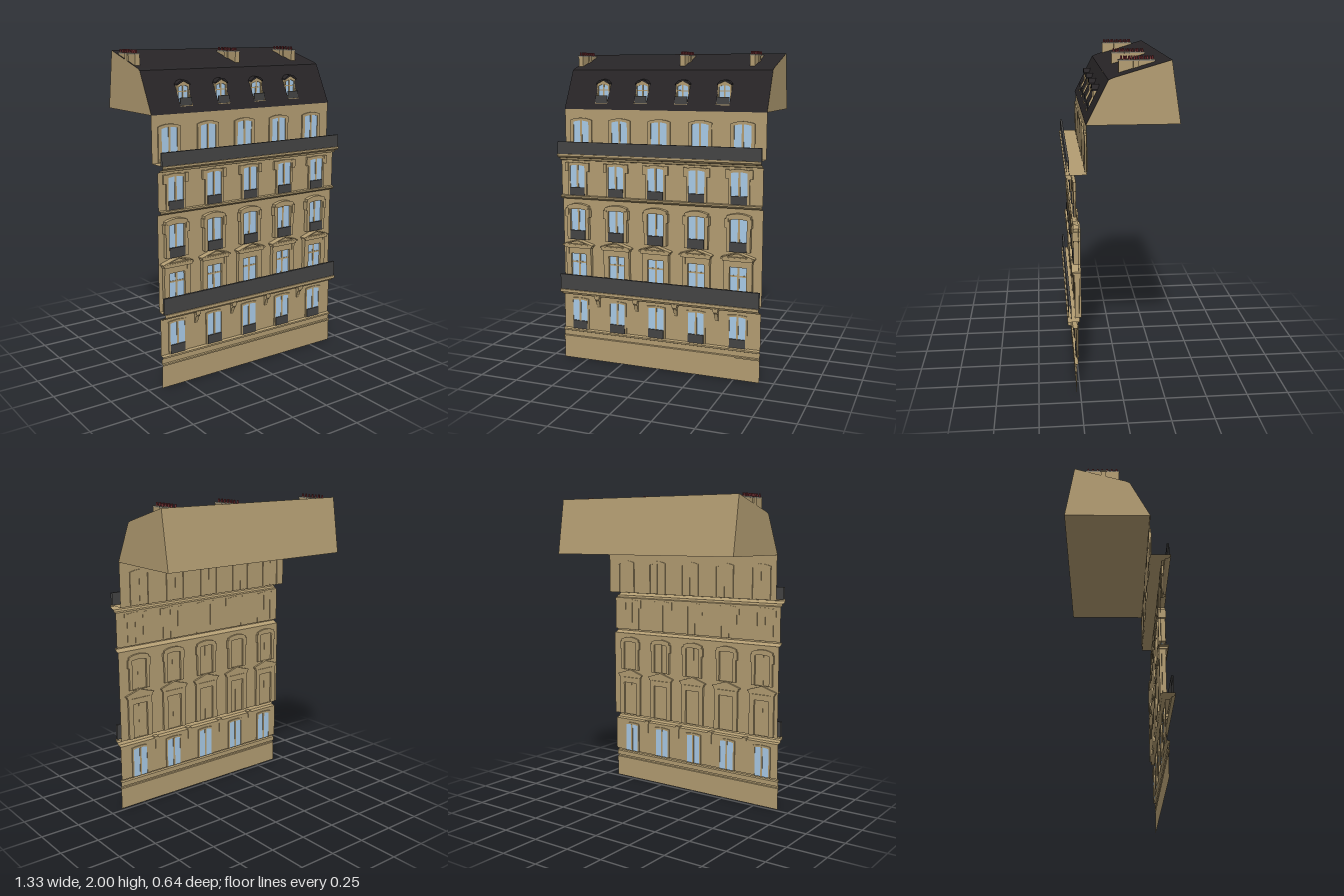
import * as THREE from 'three';

const HALF = 0.665; // half width of the building
const mat = (color) => new THREE.MeshStandardMaterial({ color, side: THREE.DoubleSide });
const stone = mat(0xb39d72), slate = mat(0x272426), iron = mat(0x444444);
const glass = mat(0xa9cbe8), clay = mat(0x7d3438), capStone = mat(0x8c8474);

const windowXs = [-2, -1, 0, 1, 2].map((i) => -0.015 + i * 0.2675);
const betweenXs = [-1.5, -0.5, 0.5, 1.5].map((i) => -0.015 + i * 0.2675);

function add(parent, name, geometry, material, x = 0, y = 0, z = 0) {
  const mesh = new THREE.Mesh(geometry, material);
  mesh.name = name;
  mesh.position.set(x, y, z);
  parent.add(mesh);
  return mesh;
}

// Box given by its centre x, y range and z range
function box(parent, name, material, x, w, y0, y1, z0, z1) {
  return add(parent, name, new THREE.BoxGeometry(w, y1 - y0, z1 - z0), material, x, (y0 + y1) / 2, (z0 + z1) / 2);
}

// Open sheet across the full width, following a [z, y] profile
function ribbon(parent, name, material, profile) {
  const pos = [];
  for (let i = 0; i < profile.length - 1; i++) {
    const [z0, y0] = profile[i], [z1, y1] = profile[i + 1];
    pos.push(-HALF, y0, z0, HALF, y0, z0, HALF, y1, z1, -HALF, y0, z0, HALF, y1, z1, -HALF, y1, z1);
  }
  const g = new THREE.BufferGeometry();
  g.setAttribute('position', new THREE.Float32BufferAttribute(pos, 3));
  g.computeVertexNormals();
  return add(parent, name, g, material);
}

const polygon = (pts) => new THREE.Shape(pts.map(([a, b]) => new THREE.Vector2(a, b)));

// Side profile [z, y] extruded along x
function prism(parent, name, material, pts, x, w) {
  const g = new THREE.ExtrudeGeometry(polygon(pts), { depth: w, bevelEnabled: false });
  g.translate(0, 0, -w / 2).rotateY(-Math.PI / 2);
  return add(parent, name, g, material, x);
}

// Upright outline with a shallow arched head
function archOutline(path, w, y0, y1, rise) {
  const h = w / 2;
  path.moveTo(-h, y0);
  path.lineTo(h, y0);
  path.lineTo(h, y1 - rise);
  if (rise > 0) path.quadraticCurveTo(0, y1 + rise, -h, y1 - rise);
  else path.lineTo(-h, y1);
  path.lineTo(-h, y0);
  return path;
}

// Front-facing extrusion between two z values
function extrudeZ(parent, name, material, shape, z0, z1) {
  const g = new THREE.ExtrudeGeometry(shape, { depth: z1 - z0, bevelEnabled: false, curveSegments: 8 });
  return add(parent, name, g, material, 0, 0, z0);
}

// Window with panes, bars, stone surround and optional small balustrade
function makeWindow(parent, x, f) {
  const g = new THREE.Group();
  g.name = 'window';
  g.position.x = x;
  parent.add(g);
  const [p0, p1] = f.pane, [s0, s1] = f.surround;
  extrudeZ(g, 'windowPane', glass, archOutline(new THREE.Shape(), f.w, f.y0, f.y1, f.rise), p0, p1);
  box(g, 'centreBar', stone, 0, 0.013, f.y0, f.y1, p0 - 0.003, p1 + 0.003);
  if (f.crossBar) box(g, 'crossBar', stone, 0, f.w, f.crossBar - 0.005, f.crossBar + 0.005, p0, p1 + 0.003);
  const ring = archOutline(new THREE.Shape(), f.outerW, f.y0, f.top, f.outerRise);
  ring.holes.push(archOutline(new THREE.Path(), f.w, f.y0 + 0.0005, f.y1, f.rise));
  extrudeZ(g, 'windowSurround', stone, ring, s0, s1);
  if (f.rail) box(g, 'windowRail', iron, 0, f.w, f.y0, f.y0 + f.rail, s1 - 0.006, s1 + 0.004);
  if (f.ears) for (const s of [-1, 1]) {
    box(g, 'surroundEar', stone, s * 0.073, 0.022, f.ears - 0.055, f.ears, s0, s1 + 0.004);
  }
  if (f.pediment) {
    const y = f.pediment;
    for (const s of [-1, 1]) box(g, 'pedimentBracket', stone, s * 0.078, 0.02, y - 0.045, y, s0, s1 + 0.003);
    box(g, 'entablature', stone, 0, 0.19, y, y + 0.014, s0, 0.288);
    box(g, 'pedimentBase', stone, 0, 0.21, y + 0.014, y + 0.022, s0, 0.293);
    const tri = polygon([[-0.105, y + 0.022], [0.105, y + 0.022], [0, y + 0.055]]);
    tri.holes.push(polygon([[-0.07, y + 0.027], [0, y + 0.047], [0.07, y + 0.027]]));
    extrudeZ(g, 'pediment', stone, tri, s0, 0.291);
    extrudeZ(g, 'pedimentField', stone, polygon([[-0.09, y + 0.022], [0.09, y + 0.022], [0, y + 0.05]]), s0, 0.28);
  }
}

// Dormer set into the front slope
const slopeZ = (y) => 0.205 - (y - 1.64) * 0.51;
function makeDormer(parent, x) {
  const g = new THREE.Group();
  g.name = 'dormer';
  g.position.x = x;
  parent.add(g);
  const frame = archOutline(new THREE.Shape(), 0.086, 1.68, 1.818, 0.022);
  frame.holes.push(archOutline(new THREE.Path(), 0.068, 1.69, 1.795, 0.01));
  extrudeZ(g, 'dormerFrame', stone, frame, 0.09, 0.148);
  extrudeZ(g, 'dormerPane', glass, archOutline(new THREE.Shape(), 0.07, 1.685, 1.797, 0.01), 0.12, 0.14);
  box(g, 'dormerBar', stone, 0, 0.009, 1.685, 1.795, 0.13, 0.144);
  box(g, 'dormerCrossBar', stone, 0, 0.068, 1.757, 1.763, 0.13, 0.144);
  box(g, 'dormerSill', stone, 0, 0.086, 1.674, 1.681, 0.12, 0.186);
  box(g, 'dormerRail', iron, 0, 0.08, 1.681, 1.727, 0.172, 0.18);
  for (const s of [-1, 1]) {
    prism(g, 'dormerCheek', stone, [[0.184, 1.681], [0.145, 1.681], [0.145, slopeZ(0) && 1.757]], s * 0.042, 0.002);
  }
  const hood = polygon([[-0.046, 1.796], [0, 1.82], [0.046, 1.796], [0.046, 1.804], [0.025, 1.822], [0, 1.829], [-0.025, 1.822], [-0.046, 1.804]]);
  extrudeZ(g, 'dormerHood', slate, hood, 0.09, 0.155);
}

function makeChimney(parent, x) {
  const g = new THREE.Group();
  g.name = 'chimney';
  g.position.x = x;
  parent.add(g);
  box(g, 'chimneyStack', stone, 0, 0.032, 1.885, 1.972, -0.19, 0.012);
  box(g, 'chimneyRib', stone, 0, 0.048, 1.9, 1.972, -0.1, -0.068);
  box(g, 'chimneyCap', capStone, 0, 0.036, 1.972, 1.981, -0.192, 0.015);
  box(g, 'chimneyRibCap', capStone, 0, 0.05, 1.972, 1.981, -0.102, -0.066);
  const pot = new THREE.CylinderGeometry(0.005, 0.0065, 0.021, 8);
  for (let i = 0; i < 13; i++) {
    add(g, 'chimneyPot', pot, clay, (i % 2 ? 1 : -1) * 0.008, 1.9895, -0.18 + i * 0.0148);
  }
}

export function createModel() {
  const model = new THREE.Group();
  model.name = 'townhouseFacade';

  // Street wall with plinth bands, balcony slab, string course and main cornice
  ribbon(model, 'facadeWall', stone, [
    [0.272, 0], [0.272, 0.14], [0.28, 0.143], [0.28, 0.152], [0.27, 0.155], [0.27, 0.185],
    [0.282, 0.19], [0.282, 0.2], [0.262, 0.205], [0.262, 0.435], [0.29, 0.44], [0.3, 0.455],
    [0.32, 0.46], [0.32, 0.478], [0.25, 0.478], [0.25, 1.068], [0.265, 1.07], [0.285, 1.083],
    [0.285, 1.093], [0.262, 1.095], [0.262, 1.318], [0.28, 1.322], [0.285, 1.335], [0.305, 1.338],
    [0.32, 1.35], [0.32, 1.362], [0.2, 1.362], [0.2, 1.64],
  ]);

  // Long balcony railings
  for (const [y0, y1] of [[0.478, 0.577], [1.362, 1.44]]) {
    ribbon(model, 'balconyRailing', iron, [[0.312, y0], [0.312, y1], [0.298, y1], [0.298, y0]]);
  }

  // Window rows, from the bottom up
  const floors = [
    { y0: 0.205, y1: 0.402, w: 0.102, rise: 0.006, outerW: 0.125, top: 0.415, outerRise: 0.006, pane: [0.257, 0.265], surround: [0.255, 0.268], rail: 0.055 },
    { y0: 0.48, y1: 0.712, w: 0.106, rise: 0, outerW: 0.178, top: 0.75, outerRise: 0, pane: [0.252, 0.258], surround: [0.237, 0.274], crossBar: 0.655, pediment: 0.752 },
    { y0: 0.808, y1: 1.008, w: 0.106, rise: 0.006, outerW: 0.15, top: 1.042, outerRise: 0.016, pane: [0.252, 0.26], surround: [0.237, 0.278], rail: 0.06, ears: 1.01 },
    { y0: 1.095, y1: 1.29, w: 0.102, rise: 0.006, outerW: 0.13, top: 1.308, outerRise: 0.008, pane: [0.263, 0.266], surround: [0.259, 0.272], rail: 0.052, ears: 1.305 },
    { y0: 1.364, y1: 1.568, w: 0.106, rise: 0.008, outerW: 0.15, top: 1.586, outerRise: 0.014, pane: [0.201, 0.204], surround: [0.193, 0.209] },
  ];
  for (const f of floors) for (const x of windowXs) makeWindow(model, x, f);

  // Consoles under the lower balcony
  for (const x of betweenXs) {
    prism(model, 'console', stone, [[0.258, 0.355], [0.268, 0.37], [0.278, 0.405], [0.293, 0.42], [0.293, 0.445], [0.258, 0.445]], x, 0.022);
    box(model, 'consoleHead', stone, x, 0.032, 0.425, 0.445, 0.258, 0.295);
  }

  // Front roof slope with dormer openings
  const slope = polygon([[-HALF, 1.64], [HALF, 1.64], [HALF, 1.885], [-HALF, 1.885]]);
  for (const x of betweenXs) {
    slope.holes.push(polygon([[x - 0.042, 1.681], [x - 0.042, 1.795], [x + 0.042, 1.795], [x + 0.042, 1.681]]));
  }
  const slopeGeo = new THREE.ShapeGeometry(slope);
  const p = slopeGeo.attributes.position;
  for (let i = 0; i < p.count; i++) p.setZ(i, slopeZ(p.getY(i)));
  slopeGeo.computeVertexNormals();
  add(model, 'roofSlope', slopeGeo, slate);

  // Upper roof, back wall, underside and gable ends
  ribbon(model, 'roofTop', slate, [[0.08, 1.885], [0.055, 1.897], [-0.265, 1.99]]);
  ribbon(model, 'roofBack', stone, [[-0.265, 1.99], [-0.32, 1.64], [0.205, 1.64]]);
  const gable = new THREE.ShapeGeometry(polygon([[0.205, 1.64], [0.08, 1.885], [0.055, 1.897], [-0.265, 1.99], [-0.32, 1.64]]));
  gable.rotateY(-Math.PI / 2);
  for (const s of [-1, 1]) add(model, 'gableEnd', gable, stone, s * HALF);

  for (const x of betweenXs) makeDormer(model, x);
  for (const x of [-0.641, 0.068, 0.52]) makeChimney(model, x);
  return model;
}
